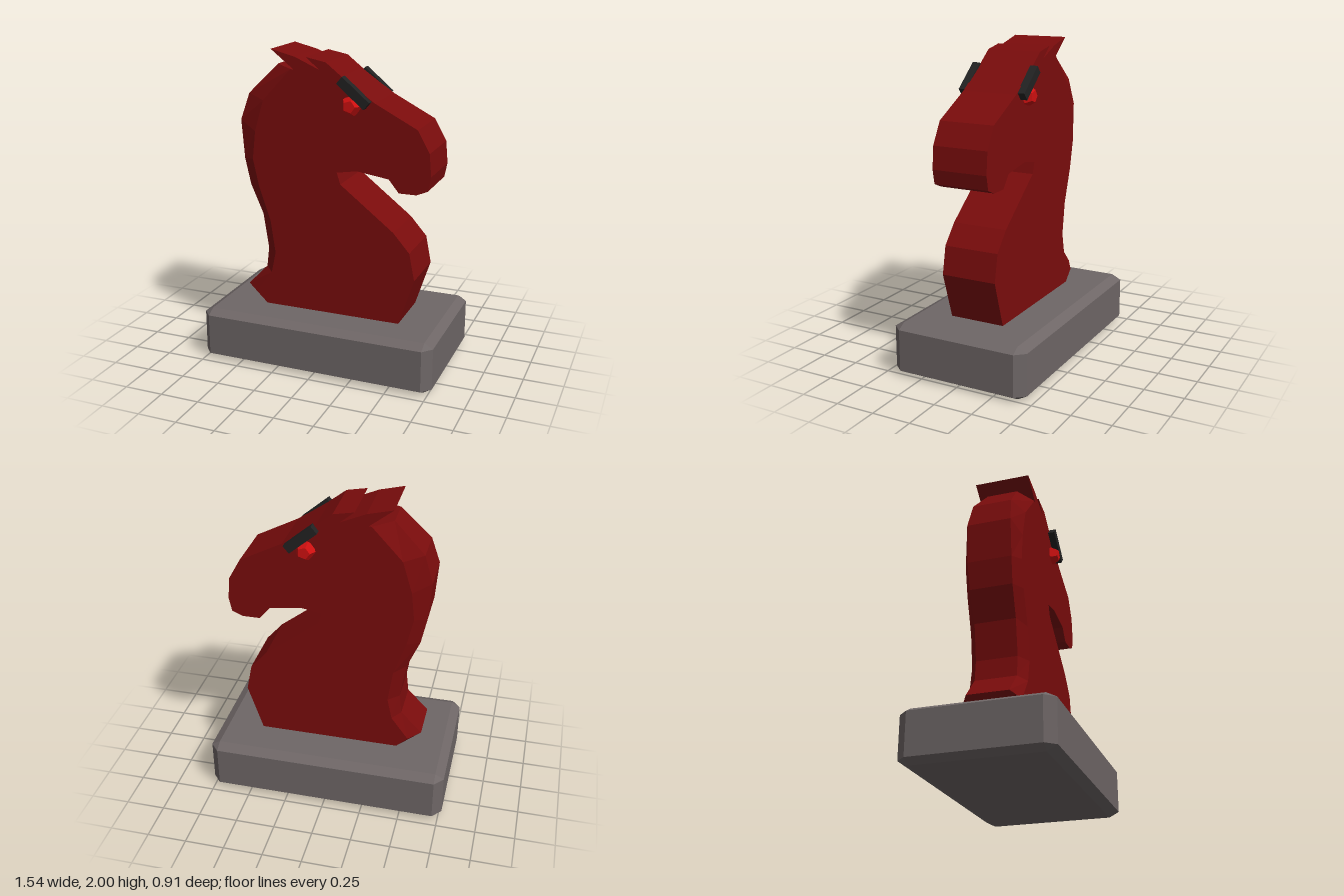
import * as THREE from 'three';
import { ConvexGeometry } from 'three/addons/geometries/ConvexGeometry.js';

const material = (color) => new THREE.MeshStandardMaterial({ color, flatShading: true });

const MID = 0.01;   // the horse sits slightly off the middle of the base
const HALF = 0.18;  // half the thickness of the horse

function addMesh(parent, name, geometry, mat) {
  const mesh = new THREE.Mesh(geometry, mat);
  mesh.name = name;
  parent.add(mesh);
  return mesh;
}

// Box with every edge and corner chamfered
function chamferedBox(x, y, z, cx, cy, cz) {
  const points = [];
  for (const sx of [-1, 1]) for (const sy of [-1, 1]) for (const sz of [-1, 1]) {
    points.push(
      new THREE.Vector3(sx * x, sy * (y - cy), sz * (z - cz)),
      new THREE.Vector3(sx * (x - cx), sy * y, sz * (z - cz)),
      new THREE.Vector3(sx * (x - cx), sy * (y - cy), sz * z));
  }
  return new ConvexGeometry(points);
}

// Nape from top to bottom: inner x, y, then outer x, y, then outer half width
const nape = [
  [-0.23, 1.885, -0.35, 1.90, 0.10],
  [-0.42, 1.68, -0.54, 1.71, 0.125],
  [-0.48, 1.48, -0.595, 1.54, 0.14],
  [-0.50, 1.30, -0.575, 1.29, 0.14],
  [-0.46, 1.12, -0.54, 1.12, 0.135],
  [-0.385, 0.90, -0.46, 0.93, 0.13],
  [-0.355, 0.69, -0.425, 0.70, 0.13],
  [-0.385, 0.55, -0.44, 0.57, 0.13],
  [-0.495, 0.40, -0.575, 0.43, 0.13],
  [-0.41, 0.32, -0.42, 0.32, 0.13],
];

// Ears, face, mouth and chest, clockwise from the nape
const profile = [
  [-0.21, 1.883], [-0.36, 2.0], [-0.20, 1.96], [-0.04, 1.89], [-0.13, 1.963],
  [0, 1.938], [0.10, 1.86], [0.31, 1.715], [0.58, 1.575], [0.655, 1.44],
  [0.668, 1.30], [0.65, 1.21], [0.58, 1.18], [0.47, 1.18], [0.405, 1.26],
  [0.20, 1.29], [0.07, 1.268], [0.093, 1.195], [0.20, 1.112], [0.44, 0.925],
  [0.545, 0.805], [0.58, 0.63], [0.48, 0.32],
];

// Tapered back of the neck, lofted through four-cornered sections
function maneGeometry() {
  const rings = nape.map(([ix, iy, ox, oy, w]) => [
    [ix, iy, HALF], [ox, oy, w], [ox, oy, -w], [ix, iy, -HALF],
  ]);
  const positions = [];
  const quad = (a, b, c, d) => positions.push(...a, ...b, ...c, ...a, ...c, ...d);
  for (let i = 0; i < rings.length - 1; i++) {
    const [p, q] = [rings[i], rings[i + 1]];
    for (let k = 0; k < 3; k++) quad(p[k], p[k + 1], q[k + 1], q[k]);
  }
  quad(...[...rings[0]].reverse());
  quad(...rings[rings.length - 1]);
  const geometry = new THREE.BufferGeometry();
  geometry.setAttribute('position', new THREE.Float32BufferAttribute(positions, 3));
  geometry.computeVertexNormals();
  return geometry;
}

export function createModel() {
  const model = new THREE.Group();
  model.name = 'chessKnight';
  const red = material(0x7a0c0c);
  const maneRed = red.clone();
  maneRed.side = THREE.DoubleSide;
  const stone = material(0x6e6666);
  const dark = material(0x222222);
  const eyeRed = material(0xd01010);

  // Base
  addMesh(model, 'base', chamferedBox(0.77, 0.165, 0.455, 0.055, 0.032, 0.062), stone)
    .position.y = 0.165;

  // Horse
  const horse = new THREE.Group();
  horse.name = 'horse';
  horse.position.z = MID;
  model.add(horse);

  const inner = nape.map(([x, y]) => [x, y]).reverse();
  const shape = new THREE.Shape([...profile, ...inner].map(([x, y]) => new THREE.Vector2(x, y)));
  const body = new THREE.ExtrudeGeometry(shape, { depth: 2 * HALF, bevelEnabled: false });
  body.translate(0, 0, -HALF);
  addMesh(horse, 'headAndNeck', body, red);
  addMesh(horse, 'mane', maneGeometry(), maneRed);

  // Eyes and brows on both flat sides
  for (const [side, s] of [['Front', 1], ['Back', -1]]) {
    const eye = addMesh(horse, 'eye' + side, new THREE.DodecahedronGeometry(0.064), eyeRed);
    eye.position.set(0.165, 1.69, s * 0.176);
    eye.rotation.y = -0.5536;
    const brow = addMesh(horse, 'brow' + side, new THREE.BoxGeometry(0.225, 0.057, 0.05), dark);
    brow.position.set(0.187, 1.772, s * 0.199);
    brow.rotation.z = -0.7;
  }
  return model;
}
